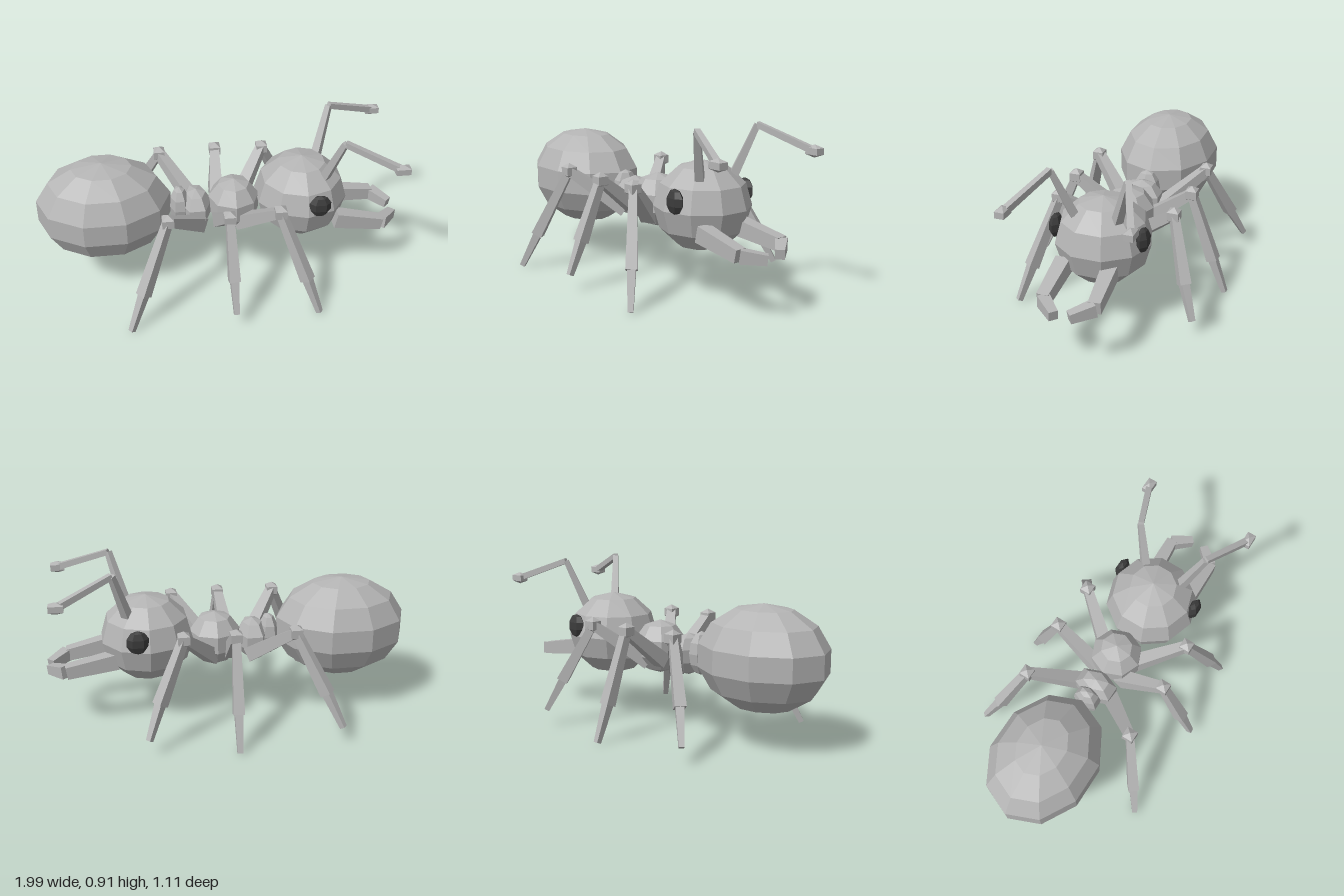
import * as THREE from 'three';

const shell = new THREE.MeshStandardMaterial({ color: 0xb4b4b4 });
shell.name = 'grey shell';
const dark = new THREE.MeshStandardMaterial({ color: 0x3c3c3c });
dark.name = 'dark eye';

// Faceted normals
function facet(geometry) {
  const g = geometry.toNonIndexed();
  g.computeVertexNormals();
  return g;
}

// Low-poly ellipsoid
function blob(name, centre, radii, sides, rows, turn = 0, material = shell) {
  const g = new THREE.SphereGeometry(1, sides, rows);
  g.rotateY(turn);
  g.scale(...radii);
  const mesh = new THREE.Mesh(facet(g), material);
  mesh.name = name;
  mesh.position.set(...centre);
  return mesh;
}

// Square tapered bar from a to b; w0 and w1 are the end widths, tall stretches its height
function bar(name, a, b, w0, w1, tall = 1) {
  const from = new THREE.Vector3(...a);
  const to = new THREE.Vector3(...b);
  const dir = to.clone().sub(from);
  const length = dir.length();
  dir.normalize();
  const side = new THREE.Vector3(0, 1, 0).cross(dir).normalize();
  const up = side.clone().cross(dir);
  const g = new THREE.CylinderGeometry(w1 / Math.SQRT2, w0 / Math.SQRT2, length, 4);
  g.rotateY(Math.PI / 4);
  g.scale(1, 1, tall);
  g.applyMatrix4(new THREE.Matrix4().makeBasis(side, dir, up));
  const mesh = new THREE.Mesh(facet(g), shell);
  mesh.name = name;
  mesh.position.copy(from).add(to).multiplyScalar(0.5);
  return mesh;
}

function makeLeg(name, side, hip, knee, ankle, foot) {
  const leg = new THREE.Group();
  leg.name = name;
  const at = ([x, y, z]) => [x, y, z * side];
  leg.add(
    bar('upperLeg', at(hip), at(knee), 0.08, 0.05),
    blob('knee', at(knee), [0.05, 0.045, 0.05], 4, 3, Math.PI / 4),
    bar('lowerLeg', at(knee), at(ankle), 0.042, 0.06),
    bar('foot', at(ankle), at(foot), 0.044, 0.028),
  );
  return leg;
}

export function createModel() {
  const ant = new THREE.Group();
  ant.name = 'ant';

  // Body, from rear to front
  ant.add(
    blob('abdomen', [-0.635, 0.47, 0], [0.372, 0.28, 0.292], 10, 7),
    blob('waist', [-0.225, 0.44, 0], [0.058, 0.12, 0.08], 6, 6),
    blob('rearThorax', [-0.135, 0.425, 0], [0.092, 0.115, 0.13], 6, 5),
    blob('frontThorax', [0.075, 0.44, 0], [0.148, 0.15, 0.148], 8, 5),
    blob('head', [0.447, 0.475, 0], [0.256, 0.237, 0.256], 10, 6, Math.PI / 10),
  );

  for (const s of [1, -1]) {
    // Legs stand in alternating tripods: one set planted, the other lifted
    const midLift = s > 0 ? 0.085 : 0;
    const endLift = s > 0 ? 0 : 0.085;
    const endIn = s > 0 ? 0 : 0.01;
    ant.add(
      makeLeg('frontLeg', s, [0.1, 0.36, 0.08], [0.28, 0.575, 0.32],
        [0.42, 0.2 + endLift * 0.75, 0.435 - endIn], [0.485, 0.01 + endLift, 0.49]),
      makeLeg('middleLeg', s, [-0.01, 0.38, 0.08], [0.01, 0.575, 0.335],
        [0.018, 0.2 + midLift * 0.75, 0.47], [0.022, 0.01 + midLift, 0.543]),
      makeLeg('rearLeg', s, [-0.12, 0.36, 0.08], [-0.31, 0.575, 0.325],
        [-0.46, 0.2 + endLift * 0.75, 0.45 - endIn], [-0.535, 0.01 + endLift, 0.512]),
    );

    // Eye
    ant.add(blob('eye', [0.51, 0.535, 0.235 * s], [0.062, 0.066, 0.034], 6, 5, 0, dark));

    // Elbowed antenna with a knobbed tip
    const antenna = new THREE.Group();
    antenna.name = 'antenna';
    const elbow = [0.628, 0.895, 0.2 * s];
    const tip = [0.91, 0.785, 0.315 * s];
    antenna.add(
      bar('antennaBase', [0.555, 0.64, 0.115 * s], elbow, 0.045, 0.03),
      bar('antennaArm', elbow, tip, 0.03, 0.034),
      blob('antennaTip', tip, [0.062, 0.033, 0.04], 4, 3, Math.PI / 4),
    );
    ant.add(antenna);
  }

  // Mandibles, opened slightly unevenly
  const jaws = [
    { root: [0.62, 0.385, 0.15], bend: [0.885, 0.33, 0.145], end: [0.975, 0.315, 0.05] },
    { root: [0.62, 0.385, -0.1], bend: [0.89, 0.345, -0.125], end: [0.975, 0.325, -0.03] },
  ];
  for (const { root, bend, end } of jaws) {
    const mandible = new THREE.Group();
    mandible.name = 'mandible';
    mandible.add(
      bar('mandibleBase', root, bend, 0.08, 0.062, 1.1),
      bar('mandibleTip', bend, end, 0.062, 0.046, 1.1),
    );
    ant.add(mandible);
  }

  return ant;
}
